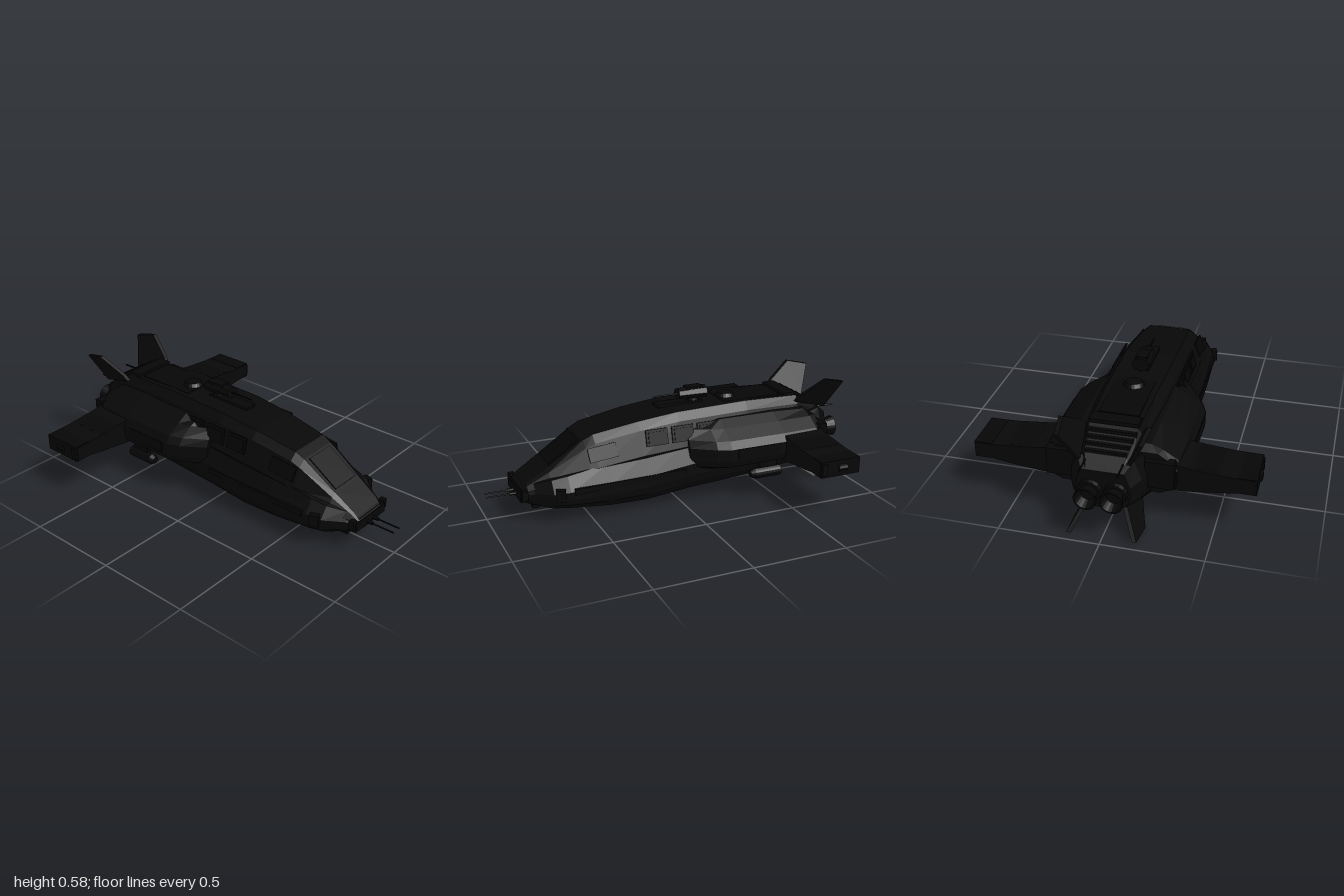
import * as THREE from 'three';

const mat = (name, color) => Object.assign(new THREE.MeshStandardMaterial({ color, flatShading: true }), { name });

export function createModel() {
  const ship = new THREE.Group();
  ship.name = 'ship';
  const hull = mat('hull black', 0x080808);
  const trim = mat('trim black', 0x060606);
  const glass = mat('window black', 0x040404);

  const add = (name, geo, m, x = 0, y = 0, z = 0) => {
    const mesh = new THREE.Mesh(geo, m);
    mesh.name = name;
    mesh.position.set(x, y, z);
    ship.add(mesh);
    return mesh;
  };
  const box = (name, m, w, h, d, x, y, z) => add(name, new THREE.BoxGeometry(w, h, d), m, x, y, z);
  // Cylinder lying along x: r1 at the front end, r2 at the rear end
  const rod = (name, m, r1, r2, len, x, y, z, sides = 16) =>
    add(name, new THREE.CylinderGeometry(r1, r2, len, sides).rotateZ(-Math.PI / 2), m, x, y, z);

  // Skin cross-sections { x, half: [[z, y], ...] } listed from tail to nose, mirrored in z
  const loft = (name, m, sections) => {
    const rings = sections.map(({ x, half }) => [
      ...half.map(([z, y]) => [x, y, z]),
      ...[...half].reverse().map(([z, y]) => [x, y, -z]),
    ]);
    const pos = [], n = rings[0].length;
    const tri = (...p) => p.forEach((v) => pos.push(...v));
    for (let i = 0; i < rings.length - 1; i++) {
      const a = rings[i], b = rings[i + 1];
      for (let j = 0; j < n; j++) {
        const k = (j + 1) % n;
        tri(a[j], b[j], b[k]);
        tri(a[j], b[k], a[k]);
      }
    }
    const first = rings[0], last = rings[rings.length - 1];
    for (let j = 1; j < n - 1; j++) {
      tri(first[0], first[j], first[j + 1]);
      tri(last[0], last[j + 1], last[j]);
    }
    const geo = new THREE.BufferGeometry();
    geo.setAttribute('position', new THREE.Float32BufferAttribute(pos, 3));
    geo.computeVertexNormals();
    return add(name, geo, m);
  };

  // Lower hull: x, half width, keel height, deck height
  loft('lowerHull', hull, [
    [-0.92, 0.13, 0.16, 0.36], [-0.86, 0.17, 0.145, 0.4], [-0.7, 0.22, 0.1, 0.38],
    [-0.4, 0.24, 0.075, 0.36], [-0.04, 0.25, 0.058, 0.34], [0.2, 0.25, 0.034, 0.31],
    [0.4, 0.245, 0.038, 0.29], [0.62, 0.235, 0.062, 0.25], [0.7, 0.215, 0.07, 0.235],
    [0.78, 0.145, 0.085, 0.21], [0.84, 0.11, 0.105, 0.18],
  ].map(([x, w, b, t]) => {
    const h = t - b;
    return { x, half: [[w * 0.42, b], [w * 0.8, b + h * 0.08], [w * 0.97, b + h * 0.25],
      [w, b + h * 0.4], [w, b + h * 0.62], [w * 0.8, t]] };
  }));

  // Upper cabin with the sloping canopy: x, base width, roof width, base height, roof height
  loft('upperCabin', hull, [
    [-0.92, 0.12, 0.08, 0.25, 0.36], [-0.86, 0.15, 0.1, 0.25, 0.41], [-0.72, 0.18, 0.12, 0.25, 0.485],
    [-0.4, 0.21, 0.13, 0.26, 0.497], [0, 0.215, 0.135, 0.26, 0.489], [0.22, 0.215, 0.13, 0.25, 0.465],
    [0.46, 0.2, 0.115, 0.22, 0.425], [0.51, 0.195, 0.11, 0.21, 0.4], [0.7, 0.16, 0.1, 0.19, 0.275],
    [0.81, 0.125, 0.095, 0.16, 0.205], [0.845, 0.11, 0.09, 0.14, 0.17],
  ].map(([x, w, r, b, t]) => ({ x, half: [[w * 0.9, b], [w, b + (t - b) * 0.25],
    [r + (w - r) * 0.45, b + (t - b) * 0.82], [r, t]] })));

  // Broad shoulders carrying the wings
  loft('shoulders', hull, [[-0.78, 0.315, 0.4], [-0.74, 0.34, 0.425], [-0.54, 0.347, 0.435], [-0.22, 0.345, 0.435],
    [-0.15, 0.318, 0.42], [-0.03, 0.235, 0.37]].map(([x, w, t]) => ({ x,
    half: [[w * 0.75, 0.185], [w * 0.96, 0.215], [w, 0.25], [w, 0.315], [w * 0.93, 0.355], [w * 0.72, 0.4], [w * 0.55, t]] })));

  // Raised roof panels and ribs
  box('roofPanel', trim, 0.34, 0.02, 0.2, -0.46, 0.488, 0);
  box('roofRidge', trim, 0.26, 0.014, 0.07, -0.06, 0.495, 0);
  box('rearRoofBlock', trim, 0.07, 0.05, 0.24, -0.68, 0.478, 0);
  for (let i = 0; i < 4; i++) box('rearRib', trim, 0.02, 0.03, 0.24 - i * 0.015, -0.75 - i * 0.032, 0.465 - i * 0.018, 0);
  add('roofHatch', new THREE.CylinderGeometry(0.04, 0.06, 0.03, 20), trim, -0.345, 0.502, 0);

  // Roof turret
  add('turretMount', new THREE.CylinderGeometry(0.03, 0.04, 0.04, 16), trim, -0.15, 0.495, 0);
  rod('turretHead', trim, 0.03, 0.036, 0.16, -0.14, 0.54, 0, 8).scale.z = 1.3;
  box('turretCap', trim, 0.09, 0.018, 0.06, -0.155, 0.566, 0);
  rod('turretBarrel', trim, 0.004, 0.005, 0.14, 0.005, 0.54, 0, 8);

  // Canopy pane, following the front slope
  const pane = box('canopyPane', glass, 0.2, 0.008, 0.17, 0.605, 0.34, 0);
  pane.rotation.z = Math.atan2(0.275 - 0.4, 0.19);

  // Thin swept tail fin: outline [x, height] with a slanted span
  const fin = (name, outline, zRoot, yRoot, slope) => {
    const shape = new THREE.Shape(outline.map(([x, y]) => new THREE.Vector2(x, y)));
    const geo = new THREE.ExtrudeGeometry(shape, { depth: 0.022, bevelEnabled: false }).translate(0, 0, -0.011);
    const p = geo.attributes.position;
    for (let i = 0; i < p.count; i++) p.setZ(i, p.getZ(i) + zRoot + Math.abs(p.getY(i) - yRoot) * slope);
    geo.computeVertexNormals();
    return add(name, geo, hull);
  };

  for (const s of [1, -1]) {
    const side = s > 0 ? 'left' : 'right';

    // Wing, tapering from root to tip
    const wing = new THREE.Shape([[0.2, 0.2], [0.35, 0.205], [0.54, 0.228], [0.6, 0.238], [0.68, 0.238], [0.68, 0.315],
      [0.54, 0.32], [0.36, 0.337], [0.2, 0.37]].map(([z, y]) => new THREE.Vector2(s * z, y)));
    add(side + 'Wing', new THREE.ExtrudeGeometry(wing, { depth: 0.23, bevelEnabled: false })
      .rotateY(-Math.PI / 2), hull, -0.54);
    box(side + 'WingTip', trim, 0.222, 0.085, 0.09, -0.655, 0.277, s * 0.645);
    rod(side + 'TipSensor', trim, 0.02, 0.02, 0.05, -0.665, 0.277, s * 0.685, 8);
    box(side + 'TipPlateFront', trim, 0.03, 0.06, 0.02, -0.56, 0.277, s * 0.686);
    box(side + 'WingPanel', trim, 0.2, 0.008, 0.12, -0.655, 0.325, s * 0.45).rotation.x = s * 0.09;
    box(side + 'WingRootRear', trim, 0.05, 0.14, 0.14, -0.785, 0.3, s * 0.24);

    // Pod slung beneath the wing root
    rod(side + 'Pod', trim, 0.03, 0.03, 0.15, -0.445, 0.15, s * 0.31);
    rod(side + 'PodNose', trim, 0.018, 0.03, 0.025, -0.358, 0.15, s * 0.31);
    box(side + 'PodPylon', trim, 0.1, 0.06, 0.025, -0.45, 0.195, s * 0.305);

    // Shoulder side panel
    box(side + 'ShoulderPanel', trim, 0.25, 0.06, 0.008, -0.38, 0.283, s * 0.346);

    // Cabin windows
    for (let i = 0; i < 3; i++) {
      const x = -0.15 + i * 0.145;
      box(side + 'WindowFrame', trim, 0.12, 0.085, 0.009, x, 0.39, s * 0.196).rotation.x = -s * 0.26;
      box(side + 'Window', glass, 0.095, 0.06, 0.009, x, 0.39, s * 0.2).rotation.x = -s * 0.26;
    }
    const sidePane = box(side + 'CanopySidePane', glass, 0.15, 0.075, 0.008, 0.43, 0.345, s * 0.182);
    sidePane.rotation.set(-s * 0.38, s * 0.06, -0.1);

    // Side rails and belly strakes
    box(side + 'HullRail', trim, 0.6, 0.03, 0.016, 0.3, 0.19, s * 0.243).rotation.set(0, s * 0.018, -0.03);
    box(side + 'BellyStrake', trim, 0.9, 0.02, 0.03, -0.15, 0.07, s * 0.1).rotation.z = -0.045;

    // Tail fins
    const upper = fin(side + 'UpperFin', [[-0.9, 0.4], [-0.7, 0.46], [-0.72, 0.495], [-0.85, 0.585], [-0.97, 0.557]], 0.12, 0.4, 0.47);
    const lower = fin(side + 'LowerFin', [[-0.88, 0.15], [-0.97, 0.022], [-0.83, 0.004], [-0.67, 0.115], [-0.67, 0.15]], 0.095, 0.15, 0.5);
    // Half-turn about x mirrors each fin across z while keeping its faces outward
    if (s < 0) {
      for (const f of [upper, lower]) {
        const p = f.geometry.attributes.position;
        for (let i = 0; i < p.count; i += 3) {
          const v = [0, 2, 1].map((k) => [p.getX(i + k), p.getY(i + k), -p.getZ(i + k)]);
          v.forEach((c, k) => p.setXYZ(i + k, ...c));
        }
        f.geometry.computeVertexNormals();
      }
    }

    // Twin engines with open nozzles
    const nozzle = [[0.035, 0], [0.045, 0.06], [0.057, 0.1], [0.05, 0.1], [0.035, 0.05], [0, 0.05]]
      .map(([r, y]) => new THREE.Vector2(r, y));
    const bell = add(side + 'EngineNozzle', new THREE.LatheGeometry(nozzle, 20).rotateZ(Math.PI / 2), trim, -0.9, 0.25, s * 0.062);
    bell.material = bellMaterial(ship, trim);
    rod(side + 'EngineCollar', trim, 0.065, 0.055, 0.05, -0.915, 0.25, s * 0.062);
    rod(side + 'TailAntenna', trim, 0.005, 0.005, 0.1, -0.935, 0.39, s * 0.09, 6);

    // Nose guns and bumper ends
    rod(side + 'NoseGun', trim, 0.004, 0.004, 0.16, 0.92, 0.135, s * 0.025, 8);
    rod(side + 'GunSleeve', trim, 0.009, 0.011, 0.05, 0.855, 0.135, s * 0.025, 8);
    box(side + 'NoseBumper', trim, 0.03, 0.05, 0.03, 0.83, 0.16, s * 0.13);
    box(side + 'ChinLamp', trim, 0.04, 0.03, 0.03, 0.765, 0.085, s * 0.09);
    box(side + 'CheekBlock', trim, 0.05, 0.06, 0.03, 0.67, 0.17, s * 0.228).rotation.y = s * 0.3;
  }
  box('noseBar', trim, 0.03, 0.05, 0.25, 0.835, 0.145, 0);
  box('bellySensor', trim, 0.03, 0.02, 0.04, 0.37, 0.035, 0);
  return ship;
}

// One shared two-sided finish for the open nozzles
function bellMaterial(ship, base) {
  if (!ship.userData.bell) {
    ship.userData.bell = base;
    base.side = THREE.DoubleSide;
  }
  return base;
}
